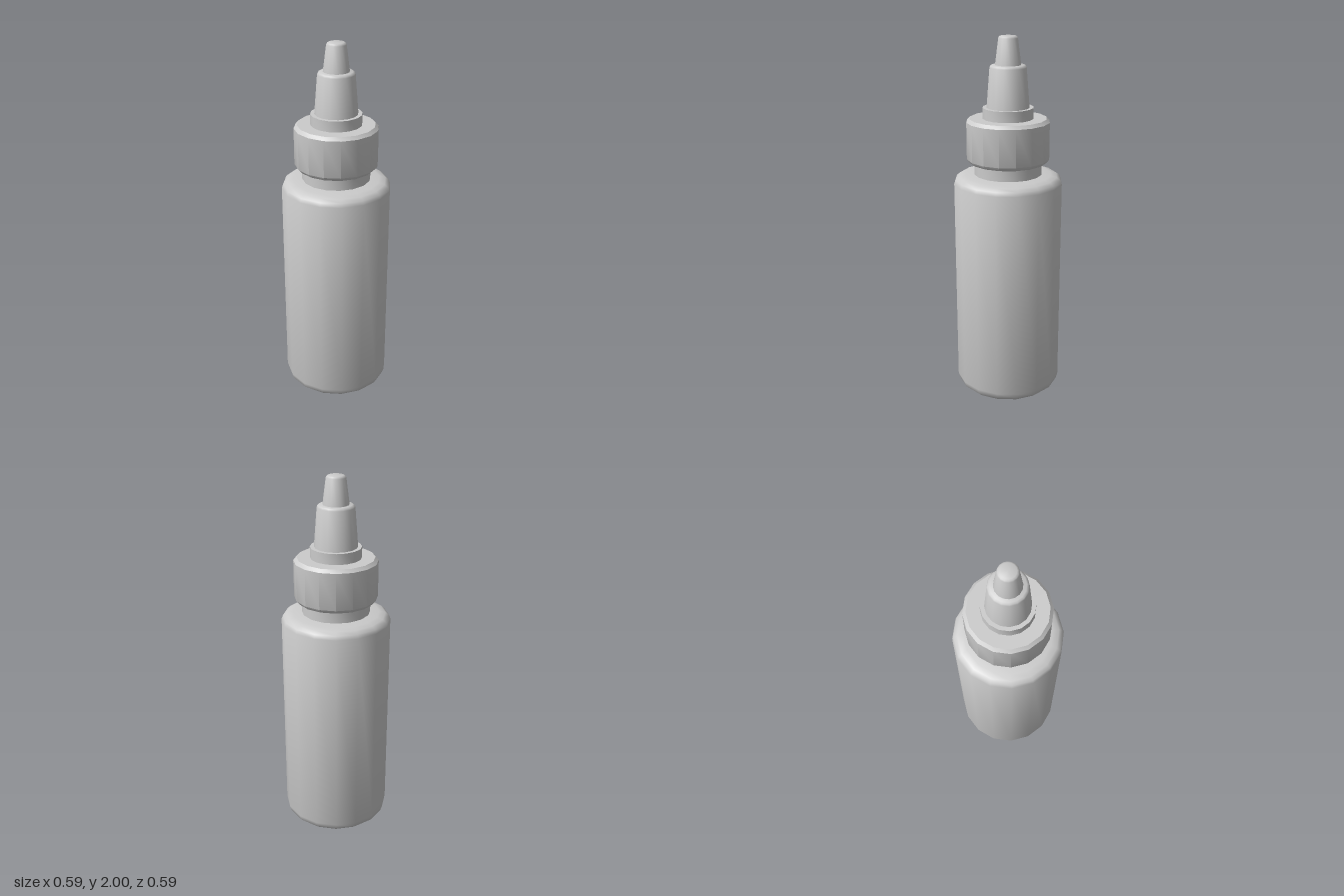
import * as THREE from 'three';
import { toCreasedNormals } from 'three/addons/utils/BufferGeometryUtils.js';

const SIDES = 16;
const material = new THREE.MeshStandardMaterial({ color: 0xcccccc });

// Revolve a [radius, height] profile (bottom to top), keeping hard rims sharp
function turned(name, profile) {
  const points = profile.map(([r, y]) => new THREE.Vector2(r, y));
  const geometry = toCreasedNormals(new THREE.LatheGeometry(points, SIDES), 0.7);
  const mesh = new THREE.Mesh(geometry, material);
  mesh.name = name;
  return mesh;
}

export function createModel() {
  const group = new THREE.Group();
  group.name = 'squeezeBottle';

  group.add(
    // Body with rounded base and shoulder
    turned('body', [
      [0, 0], [0.225, 0], [0.262, 0.009], [0.286, 0.03], [0.296, 0.062],
      [0.296, 1.222], [0.288, 1.243], [0.268, 1.258], [0.235, 1.266], [0.18, 1.27],
    ]),
    // Neck between shoulder and cap
    turned('neck', [[0.185, 1.255], [0.185, 1.345]]),
    // Screw cap with chamfered rims
    turned('cap', [
      [0, 1.335], [0.208, 1.335], [0.225, 1.355],
      [0.225, 1.555], [0.208, 1.572], [0, 1.572],
    ]),
    // Collar on top of the cap
    turned('collar', [[0.137, 1.565], [0.137, 1.63], [0, 1.63]]),
    // Tapered nozzle with softened top
    turned('nozzle', [
      [0.116, 1.625], [0.099, 1.838], [0.095, 1.847], [0.086, 1.852], [0, 1.852],
    ]),
    // Small tapered tip
    turned('tip', [
      [0.07, 1.848], [0.052, 1.988], [0.048, 1.996], [0.04, 2], [0, 2],
    ]),
  );
  return group;
}
